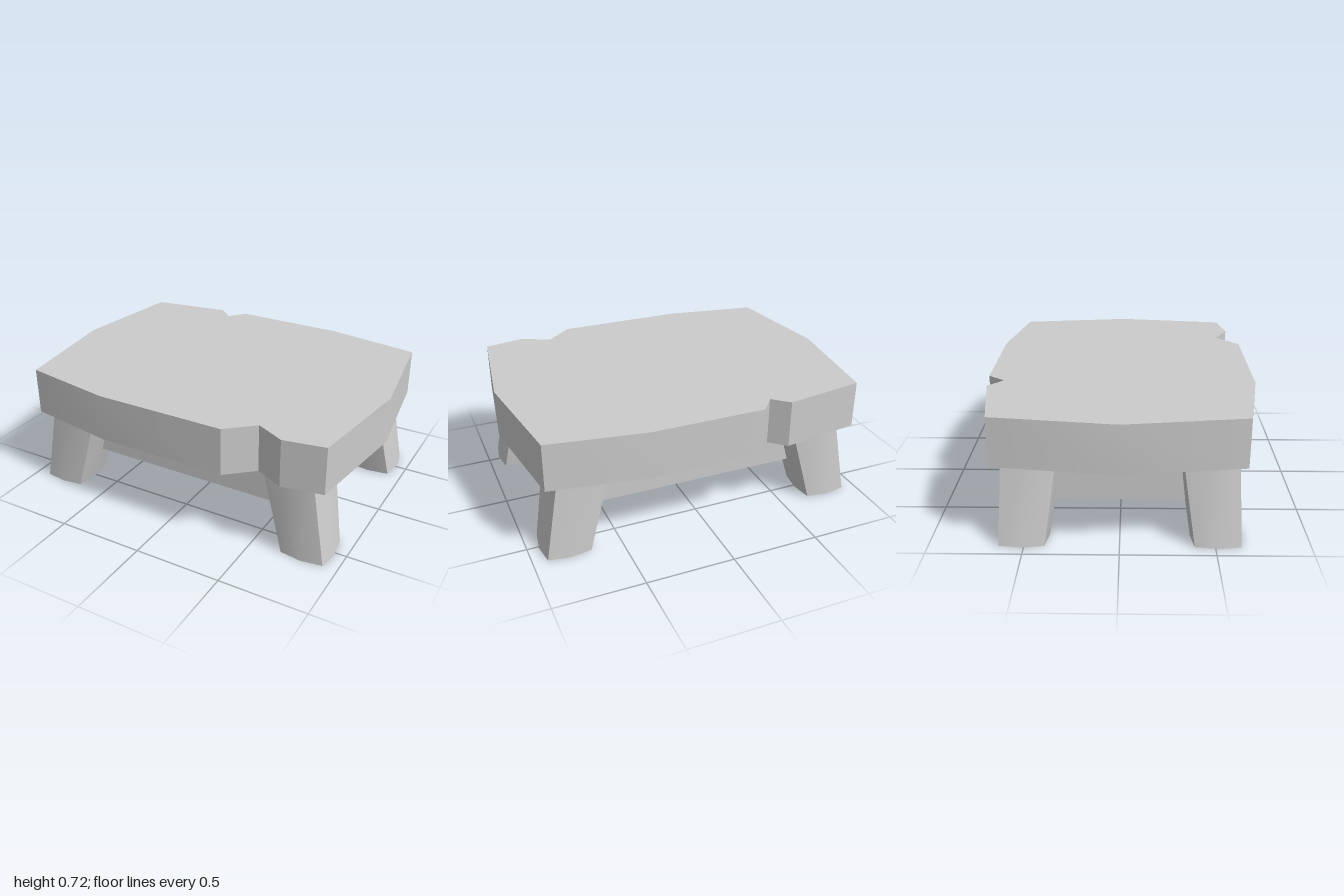
import * as THREE from 'three';
import { toCreasedNormals } from 'three/addons/utils/BufferGeometryUtils.js';

const material = new THREE.MeshStandardMaterial({ color: 0xcccccc });
const TOP_Y = 0.72, UNDER_Y = 0.45, CREASE = 0.6;

function addPart(group, name, geometry) {
  const mesh = new THREE.Mesh(geometry, material);
  mesh.name = name;
  group.add(mesh);
  return mesh;
}

// Slab with bowed sides and a chip in the front and back edges
function slabGeometry() {
  const outline = [
    [-0.91, 0.65], [-0.38, 0.74], [0.37, 0.74], [0.52, 0.61], [0.68, 0.69], [0.91, 0.65],
    [1, 0], [0.91, -0.66], [0.37, -0.745], [-0.28, -0.745], [-0.36, -0.65], [-0.45, -0.73],
    [-0.91, -0.66], [-1, 0],
  ].map(([x, z]) => new THREE.Vector2(x, -z));
  const geometry = new THREE.ExtrudeGeometry(new THREE.Shape(outline), {
    depth: TOP_Y - UNDER_Y, bevelEnabled: false,
  });
  geometry.rotateX(-Math.PI / 2).translate(0, UNDER_Y, 0);
  return toCreasedNormals(geometry, CREASE);
}

// Splayed leg: a square section with bulging sides, widening upward
function legGeometry(sx, sz) {
  const height = UNDER_Y + 0.03;
  const geometry = new THREE.CylinderGeometry(1, 1, height, 8).translate(0, height / 2, 0);
  const pos = geometry.attributes.position;
  for (let i = 0; i < pos.count; i++) {
    const x = pos.getX(i), z = pos.getZ(i), y = pos.getY(i), t = y / UNDER_Y;
    const isCorner = Math.abs(x * z) > 0.1;
    const half = THREE.MathUtils.lerp(0.139, 0.163, t);
    const k = isCorner ? half * 0.87 * Math.SQRT2 : half;
    pos.setXYZ(i,
      sx * THREE.MathUtils.lerp(0.797, 0.695, t) + x * k, y,
      sz * THREE.MathUtils.lerp(0.513, 0.47, t) + z * k);
  }
  return toCreasedNormals(geometry, CREASE);
}

export function createModel() {
  const model = new THREE.Group();
  model.name = 'lowTable';

  addPart(model, 'tabletop', slabGeometry());

  // Solid block under the top
  addPart(model, 'apron', new THREE.BoxGeometry(1.52, 0.26, 0.97)).position.y = 0.325;

  for (const [side, sx] of [['Left', 1], ['Right', -1]]) {
    addPart(model, `front${side}Leg`, legGeometry(sx, 1));
    addPart(model, `back${side}Leg`, legGeometry(sx, -1));
  }
  return model;
}
